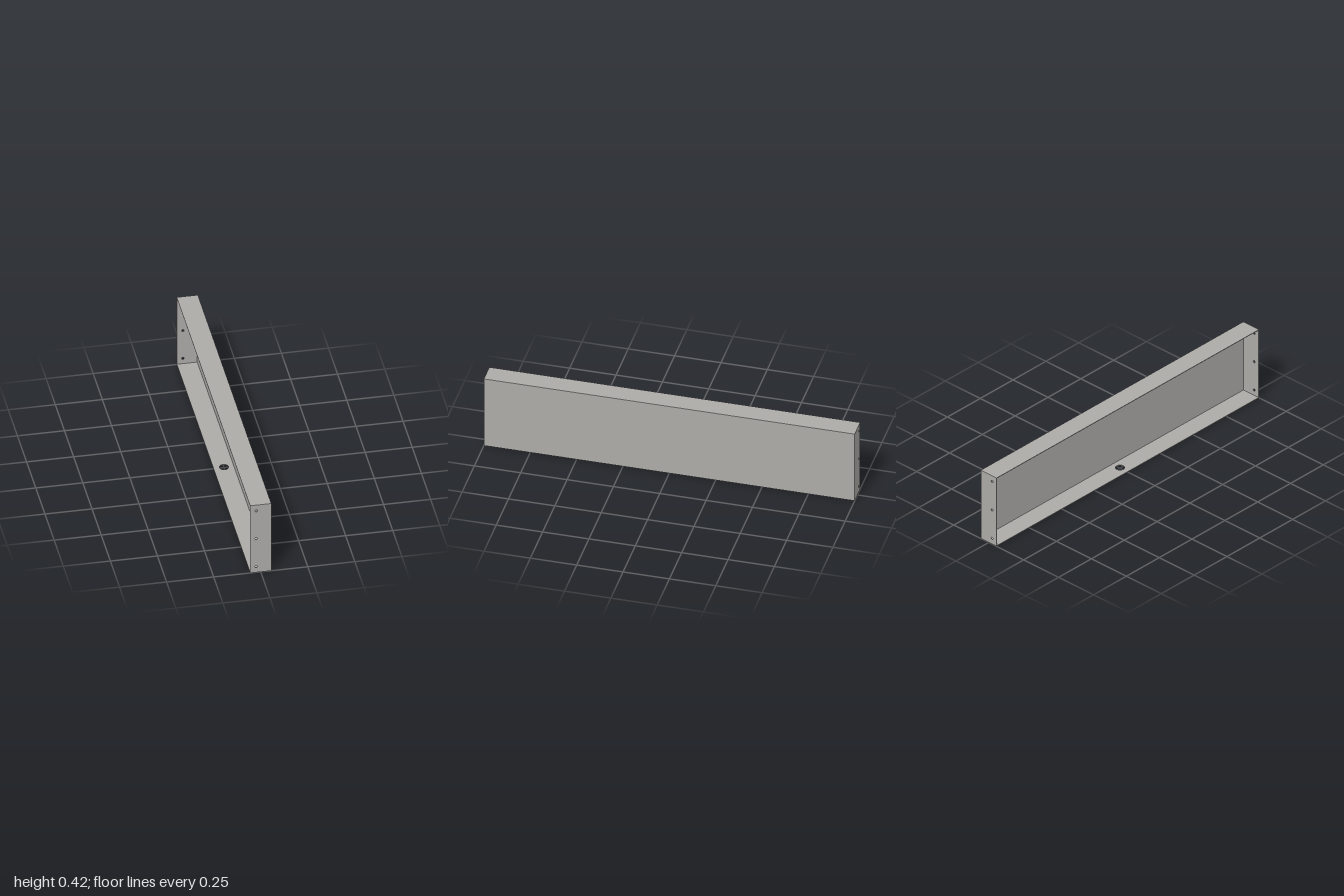
import * as THREE from 'three';

const W = 0.112, H = 0.421, L = 2, T = 0.004; // overall size and sheet thickness

// Flat plate centred on its origin, in the XY plane, with round holes [x, y, radius]
function plate(name, w, h, holes, material) {
  const shape = new THREE.Shape([
    new THREE.Vector2(-w / 2, -h / 2), new THREE.Vector2(w / 2, -h / 2),
    new THREE.Vector2(w / 2, h / 2), new THREE.Vector2(-w / 2, h / 2),
  ]);
  for (const [x, y, r] of holes) {
    shape.holes.push(new THREE.Path().absarc(x, y, r, 0, Math.PI * 2, true));
  }
  const geometry = new THREE.ExtrudeGeometry(shape, { depth: T, bevelEnabled: false, curveSegments: 32 });
  geometry.translate(0, 0, -T / 2);
  const mesh = new THREE.Mesh(geometry, material);
  mesh.name = name;
  return mesh;
}

export function createModel() {
  const group = new THREE.Group();
  group.name = 'sheetMetalPanel';
  const steel = new THREE.MeshStandardMaterial({ color: 0xadaba8 });
  steel.name = 'grey steel';

  // Main face, leaving the -x side of the tray open
  const face = new THREE.Mesh(new THREE.BoxGeometry(T, H - 2 * T, L), steel);
  face.name = 'facePanel';
  face.position.set(W / 2 - T / 2, H / 2, 0);
  group.add(face);

  // Top flange, and bottom flange with its central cable hole
  const top = plate('topFlange', W, L, [], steel);
  const bottom = plate('bottomFlange', W, L, [[0, 0, 0.0245]], steel);
  top.position.y = H - T / 2;
  bottom.position.y = T / 2;
  for (const flange of [top, bottom]) {
    flange.rotation.x = -Math.PI / 2;
    group.add(flange);
  }

  // End flanges, each with three screw holes
  const screwHoles = [-0.1745, 0, 0.1745].map((y) => [-0.022, y, 0.0065]);
  for (const side of [1, -1]) {
    const end = plate(side > 0 ? 'frontFlange' : 'backFlange', W - T, H - 2 * T, screwHoles, steel);
    end.position.set(-T / 2, H / 2, side * (L / 2 - T / 2));
    group.add(end);
  }
  return group;
}
